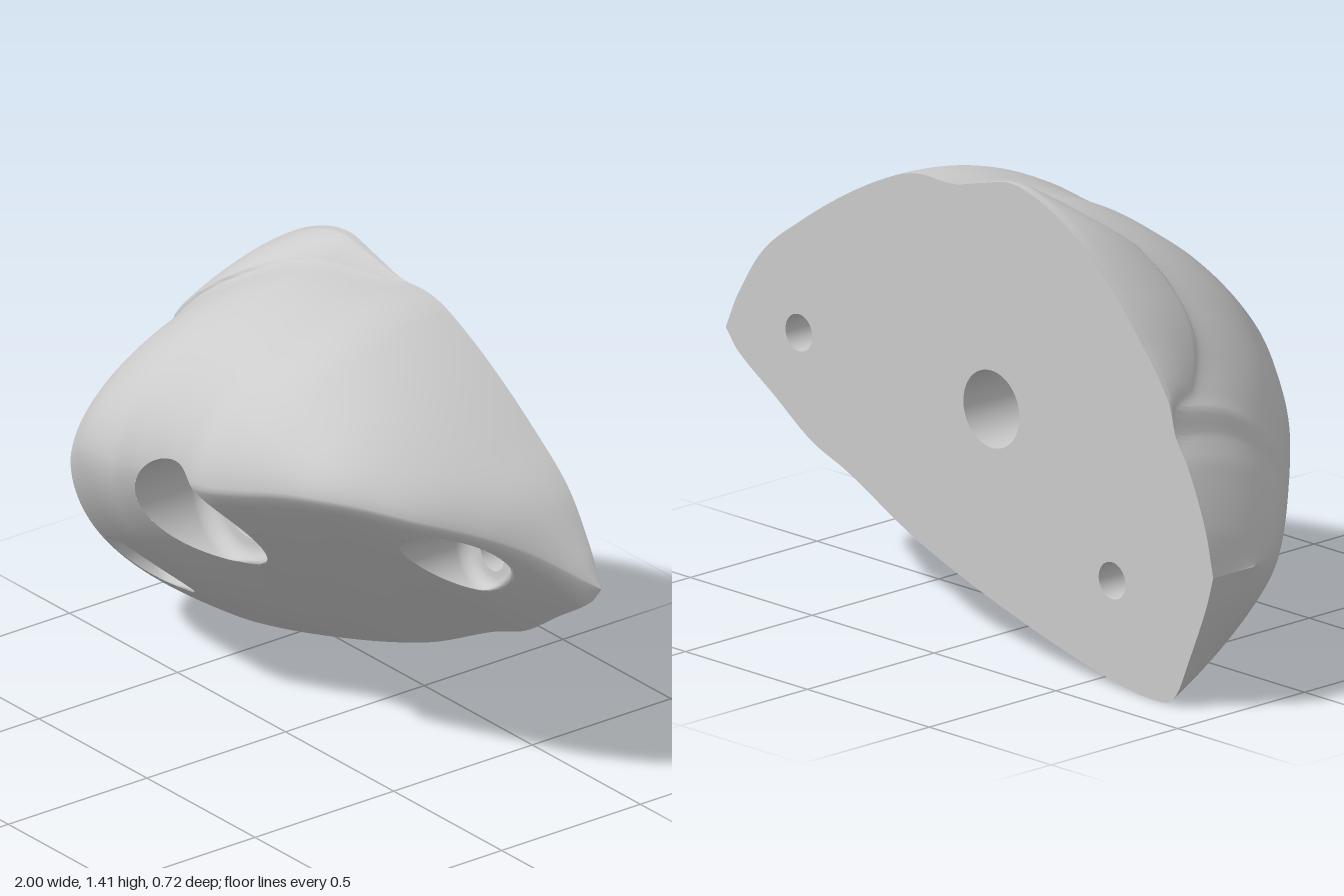
import * as THREE from 'three';

const BACK = -0.36;
const { lerp, smoothstep } = THREE.MathUtils;

// Smooth one-dimensional curve through [x, value] points
function curve(points) {
  const n = points.length;
  const slope = points.map((p, i) => {
    const a = points[Math.max(i - 1, 0)], b = points[Math.min(i + 1, n - 1)];
    return (b[1] - a[1]) / (b[0] - a[0]);
  });
  return (x) => {
    let i = 0;
    while (i < n - 2 && x > points[i + 1][0]) i++;
    const [x0, y0] = points[i], [x1, y1] = points[i + 1];
    const h = x1 - x0, t = Math.min(Math.max((x - x0) / h, 0), 1), s = 1 - t;
    return y0 * (1 + 2 * t) * s * s + y1 * t * t * (3 - 2 * t) + h * t * s * (slope[i] * s - slope[i + 1] * t);
  };
}

// Outline of the flat back, front ridge line and its depth
const bottomY = curve([[-1, 0.42], [-0.97, 0.32], [-0.9, 0.15], [-0.85, 0.04], [-0.8, 0.005], [-0.6, 0.02], [-0.2, 0.12],
  [0.2, 0.255], [0.5, 0.4], [0.65, 0.46], [0.8, 0.56], [0.95, 0.66], [1, 0.72]]);
const topY = curve([[-1, 0.42], [-0.97, 0.55], [-0.9, 0.72], [-0.845, 0.81], [-0.82, 0.9], [-0.7, 1.06], [-0.6, 1.17],
  [-0.45, 1.3], [-0.3, 1.38], [-0.17, 1.41], [-0.05, 1.385], [0.07, 1.355], [0.2, 1.355], [0.3, 1.33], [0.5, 1.23],
  [0.7, 1.1], [0.85, 0.98], [0.95, 0.83], [1, 0.72]]);
const ridgeY = curve([[-1, 0.42], [-0.95, 0.43], [-0.9, 0.46], [-0.8, 0.55], [-0.7, 0.66], [-0.6, 0.74], [-0.5, 0.79],
  [-0.35, 0.82], [-0.1, 0.87], [0.1, 0.9], [0.4, 0.97], [0.6, 0.97], [0.8, 0.89], [0.95, 0.76], [1, 0.72]]);
const ridgeZ = curve([[-1, -0.2], [-0.95, -0.07], [-0.9, 0.01], [-0.8, 0.13], [-0.7, 0.23], [-0.6, 0.29], [-0.5, 0.335],
  [-0.35, 0.358], [-0.25, 0.335], [-0.1, 0.32], [0.05, 0.358], [0.2, 0.335], [0.4, 0.28], [0.5, 0.24], [0.6, 0.17],
  [0.7, 0.07], [0.8, -0.08], [0.9, -0.24], [1, BACK]]);
// Raised lip behind the crown: height and depth
const lipHeight = curve([[-1, 0], [-0.86, 0], [-0.78, 0.05], [-0.65, 0.07], [-0.17, 0.065], [0, 0.03], [0.12, 0], [1, 0]]);
const lipDepth = curve([[-1, 0], [-0.84, 0], [-0.78, 0.13], [-0.65, 0.25], [-0.45, 0.24], [-0.3, 0.16], [-0.17, 0.1],
  [0, 0.04], [0.12, 0], [1, 0]]);

// Depth of the rock's front surface at (x, y)
function skin(x, y) {
  const yb = bottomY(x), yt = topY(x), yr = ridgeY(x), depth = ridgeZ(x) - BACK;
  if (yt - yb < 1e-5) return BACK;
  if (y <= yr) {
    // Underside: bulging and blunt on one end, flat with a sharper ridge on the other
    const s = Math.min(Math.max((y - yb) / (yr - yb), 0), 1);
    const round = smoothstep(-x, 0.8, 0.97);
    const bulge = lerp(1.8, 1.18, smoothstep(x, -0.35, 0.15)) + 0.2 * round;
    return BACK + depth * Math.pow(1 - Math.pow(1 - s, bulge), 1 - 0.5 * round);
  }
  const lip = Math.max(lipHeight(x), 0);
  const v = Math.min((y - yr) / (yt - lip - yr), 1);
  const body = depth * Math.sqrt(1 - Math.pow(v, 1.85));
  if (lip < 0.002) return BACK + body;
  // Blend the lip softly into the body
  const rise = lipDepth(x) * Math.sqrt(Math.min(Math.max((yt - y) / lip, 0), 1));
  const overlap = Math.max(lip - Math.abs(body - rise), 0);
  return BACK + Math.max(body, rise) + (overlap * overlap) / (4 * lip);
}

const BORES = [
  { name: 'centreBoltHole', x: -0.09, y: 0.72, R: 0.19, r: 0.115, floor: 0.07 },
  { name: 'rightBoltHole', x: -0.585, y: 0.32, R: 0.115, r: 0.055, floor: -0.1 },
  { name: 'leftBoltHole', x: 0.7, y: 0.77, R: 0.115, r: 0.055, floor: -0.2 },
];

function gridGeometry(positions, cells) {
  const g = new THREE.BufferGeometry();
  g.setAttribute('position', new THREE.Float32BufferAttribute(positions, 3));
  g.setIndex(cells);
  g.computeVertexNormals();
  return g;
}

// Columns crowd towards both ends where the outline turns steeply
const NX = 220, NY = 110;
const columnX = (i) => {
  const t = i / NX;
  return 0.45 * (2 * t - 1) - 0.55 * Math.cos(Math.PI * t);
};

// Front surface: columns running bottom, ridge, top, opened at the bores
function rockSurface() {
  const pos = [], inside = [], index = [];
  for (let i = 0; i <= NX; i++) {
    const cx = columnX(i);
    for (let j = 0; j <= NY; j++) {
      const t = (2 * j) / NY;
      let x = cx, y = t <= 1
        ? lerp(bottomY(x), ridgeY(x), t)
        : lerp(ridgeY(x), topY(x), Math.sin((t - 1) * Math.PI / 2));
      let z = j === 0 || j === NY ? BACK : skin(x, y);
      if (Math.abs(cx) > 0.99999) z = lerp(BACK, ridgeZ(cx), 1 - Math.abs(t - 1));
      let hit = 0;
      BORES.forEach((b, k) => {
        const d = Math.hypot(x - b.x, y - b.y);
        if (d >= b.R) return;
        hit = k + 1;
        x = b.x + (x - b.x) * b.R / Math.max(d, 1e-6);
        y = b.y + (y - b.y) * b.R / Math.max(d, 1e-6);
        z = skin(x, y);
      });
      inside.push(hit);
      pos.push(x, y, z);
    }
  }
  for (let i = 0; i < NX; i++) {
    for (let j = 0; j < NY; j++) {
      const a = i * (NY + 1) + j, b = a + NY + 1;
      if (inside[a] && inside[b] && inside[a + 1] && inside[b + 1]) continue;
      index.push(a, b, b + 1, a, b + 1, a + 1);
    }
  }
  return gridGeometry(pos, index);
}

// Counterbore with a rounded floor
function counterbore({ x, y, R, r, floor }) {
  const N = 72, fillet = (R - r) * 0.7, rings = [[R, 9]];
  for (let k = 0; k <= 6; k++) {
    const a = (k / 6) * Math.PI / 2;
    rings.push([R - fillet * (1 - Math.cos(a)), floor + fillet * (1 - Math.sin(a))]);
  }
  rings.push([r, floor]);
  const pos = [], index = [];
  rings.forEach(([rad, h], k) => {
    for (let i = 0; i <= N; i++) {
      const a = (i / N) * Math.PI * 2;
      const px = x + rad * Math.cos(a), py = y + rad * Math.sin(a);
      pos.push(px, py, Math.min(skin(px, py), h));
      if (k && i < N) {
        const o = (k - 1) * (N + 1) + i, n = o + N + 1;
        index.push(o, o + 1, n + 1, o, n + 1, n);
      }
    }
  });
  return gridGeometry(pos, index);
}

// Flat back with the bolt holes cut through
function backFace() {
  const pts = [];
  for (let i = 0; i <= NX; i++) pts.push(new THREE.Vector2(columnX(i), bottomY(columnX(i))));
  for (let i = NX - 1; i > 0; i--) pts.push(new THREE.Vector2(columnX(i), topY(columnX(i))));
  const shape = new THREE.Shape(pts);
  for (const b of BORES) shape.holes.push(new THREE.Path().absarc(b.x, b.y, b.r, 0, Math.PI * 2, true));
  const g = new THREE.ShapeGeometry(shape, 36);
  g.translate(0, 0, BACK);
  return g;
}

export function createModel() {
  const group = new THREE.Group();
  group.name = 'climbingHold';
  const material = new THREE.MeshStandardMaterial({ color: 0xcccccc });
  const twoSided = new THREE.MeshStandardMaterial({ color: 0xcccccc, side: THREE.DoubleSide });
  const backMaterial = new THREE.MeshStandardMaterial({ color: 0xcccccc, side: THREE.BackSide });
  const add = (name, geometry, mat) => {
    const mesh = new THREE.Mesh(geometry, mat);
    mesh.name = name;
    group.add(mesh);
    return mesh;
  };
  add('rockSurface', rockSurface(), material);
  add('flatBack', backFace(), backMaterial);
  for (const b of BORES) {
    add(b.name + 'Recess', counterbore(b), twoSided);
    // Straight bolt shaft from the recess floor to the back
    const length = b.floor - BACK;
    const shaft = new THREE.CylinderGeometry(b.r, b.r, length, 72, 1, true);
    shaft.rotateX(Math.PI / 2);
    add(b.name + 'Shaft', shaft, backMaterial).position.set(b.x, b.y, BACK + length / 2);
  }
  return group;
}
